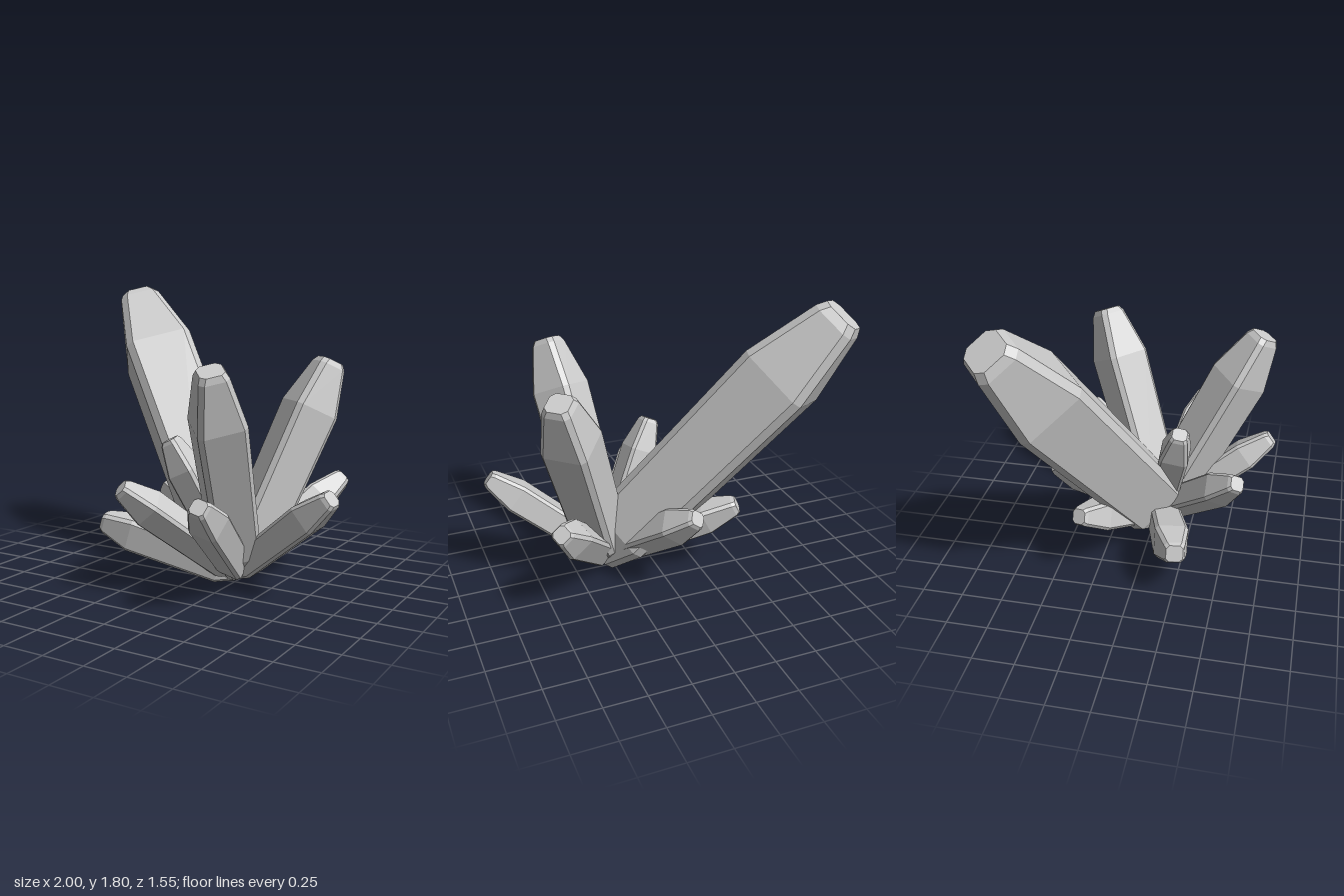
import * as THREE from 'three';

const material = new THREE.MeshStandardMaterial({ color: 0xcccccc, flatShading: true });
const ROOT = new THREE.Vector3(0.29, 0.085, 0.035);

// Fraction of length, fraction of full radius
const PROFILE = [[0, 0.5], [0.12, 0.92], [0.77, 1], [0.975, 0.57], [1, 0.44]];
const BEVEL = 0.11; // half width of the narrow corner facets, as a fraction of the radius

// Chamfered square shaft from the shared root to a blunt tip
function crystal(name, tip, radius, twist) {
  const end = new THREE.Vector3(...tip);
  const axis = end.clone().sub(ROOT).normalize();

  // Cross-section frame: u points at a corner of the square
  const u = new THREE.Vector3(0, 0, 1).projectOnPlane(axis).normalize().applyAxisAngle(axis, twist);
  const v = new THREE.Vector3().crossVectors(axis, u);

  const rings = PROFILE.map(([t, s]) => {
    const ring = [];
    for (let k = 0; k < 8; k++) {
      const corner = u.clone().applyAxisAngle(axis, Math.floor(k / 2) * Math.PI / 2);
      const across = v.clone().applyAxisAngle(axis, Math.floor(k / 2) * Math.PI / 2);
      ring.push(ROOT.clone().lerp(end, t)
        .addScaledVector(corner, radius * s)
        .addScaledVector(across, radius * (k % 2 ? BEVEL : -BEVEL)));
    }
    return ring;
  });

  const pos = [];
  const tri = (...pts) => pts.forEach((p) => pos.push(p.x, p.y, p.z));
  for (let i = 0; i < rings.length - 1; i++) {
    for (let k = 0; k < 8; k++) {
      const n = (k + 1) % 8;
      tri(rings[i][k], rings[i][n], rings[i + 1][n]);
      tri(rings[i][k], rings[i + 1][n], rings[i + 1][k]);
    }
  }
  // Flat ends
  const top = rings[rings.length - 1], bottom = rings[0];
  for (let k = 1; k < 7; k++) {
    tri(top[0], top[k], top[k + 1]);
    tri(bottom[0], bottom[k + 1], bottom[k]);
  }

  const geometry = new THREE.BufferGeometry();
  geometry.setAttribute('position', new THREE.Float32BufferAttribute(pos, 3));
  geometry.computeVertexNormals();
  const mesh = new THREE.Mesh(geometry, material);
  mesh.name = name;
  return mesh;
}

export function createModel() {
  const group = new THREE.Group();
  group.name = 'crystalCluster';

  // Large shafts, a corner turned to the front
  const large = [
    ['mainCrystal', [-0.89, 1.72, -0.645], 0.28],
    ['tallFrontCrystal', [0.45, 1.34, 0.65], 0.18],
    ['tallBackCrystal', [0.68, 1.34, -0.41], 0.18],
  ];
  // Small shafts around the base, a flat side turned to the front
  const small = [
    ['smallLeftCrystal', [0.97, 0.64, 0.235], 0.115],
    ['smallFrontCrystal', [0.43, 0.63, 0.74], 0.115],
    ['smallFrontRightCrystal', [-0.18, 0.64, 0.585], 0.115],
    ['smallRightCrystal', [-0.54, 0.34, 0.27], 0.13],
    ['smallUprightCrystal', [-0.08, 0.88, 0.215], 0.115],
    ['smallBackRightCrystal', [-0.45, 0.46, -0.33], 0.115],
    ['smallBackCrystal', [-0.07, 0.57, -0.58], 0.115],
    ['smallBackLeftCrystal', [0.73, 0.61, -0.53], 0.115],
  ];
  large.forEach((c) => group.add(crystal(...c, 0)));
  small.forEach((c) => group.add(crystal(...c, Math.PI / 4)));
  return group;
}
